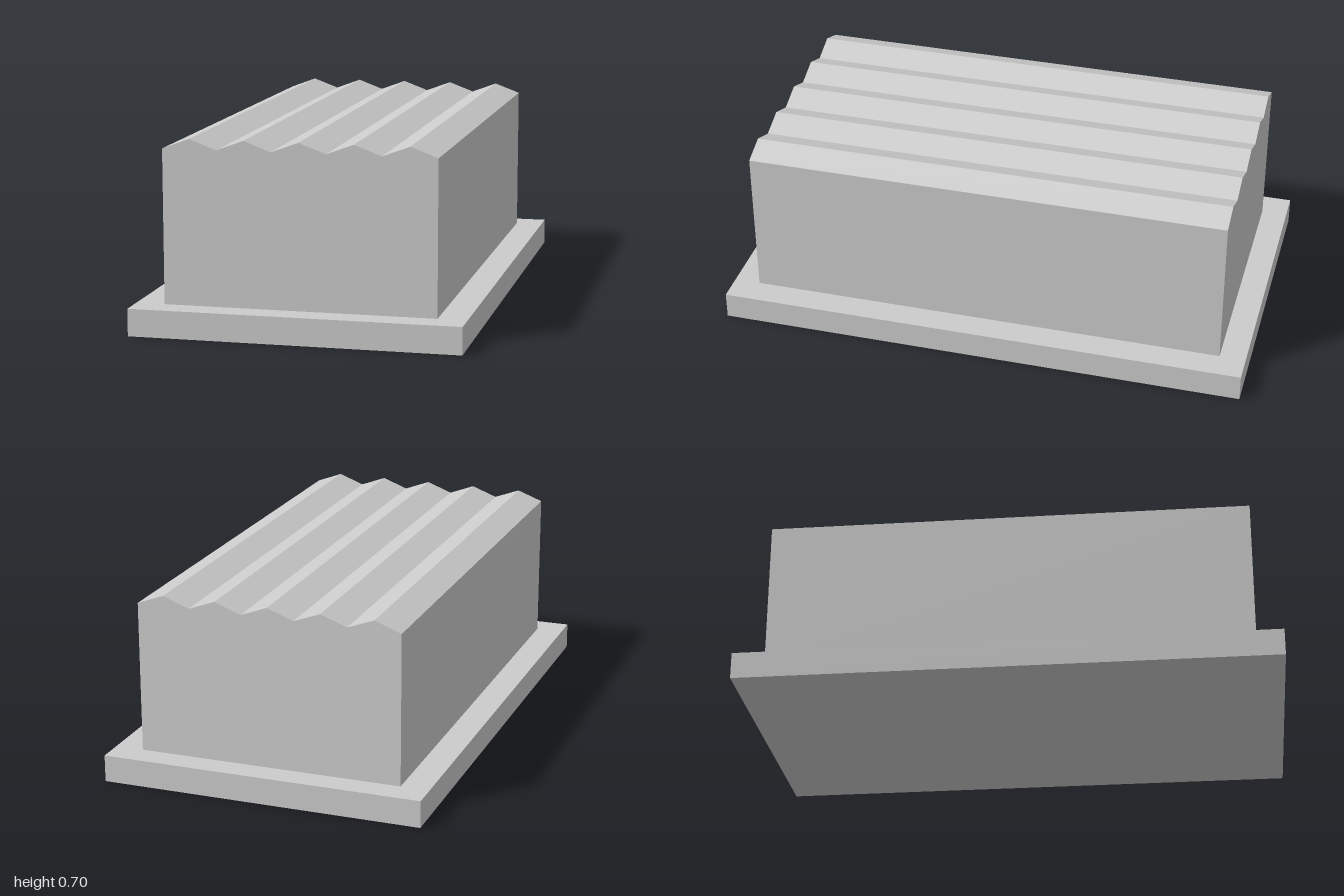
import * as THREE from 'three';

export function createModel() {
  const model = new THREE.Group();
  const material = new THREE.MeshStandardMaterial({ color: 0xcccccc, flatShading: true });

  // Flat plinth
  const baseHeight = 0.1;
  const base = new THREE.Mesh(new THREE.BoxGeometry(1.202, baseHeight, 2), material);
  base.name = 'base';
  base.position.y = baseHeight / 2;
  model.add(base);

  // Hall with a zigzag roof, extruded along z
  const gables = 5, width = 0.99, depth = 1.804;
  const eaves = 0.662, ridge = 0.699;
  const profile = new THREE.Shape();
  profile.moveTo(-width / 2, baseHeight);
  profile.lineTo(width / 2, baseHeight);
  for (let i = 0; i <= gables * 2; i++) {
    const x = width / 2 - (i * width) / (gables * 2);
    profile.lineTo(x, i % 2 ? ridge : eaves);
  }
  profile.closePath();
  const hallGeometry = new THREE.ExtrudeGeometry(profile, { depth, bevelEnabled: false });
  hallGeometry.translate(0, 0, -depth / 2);
  const hall = new THREE.Mesh(hallGeometry, material);
  hall.name = 'hallWithRidgedRoof';
  model.add(hall);

  return model;
}
